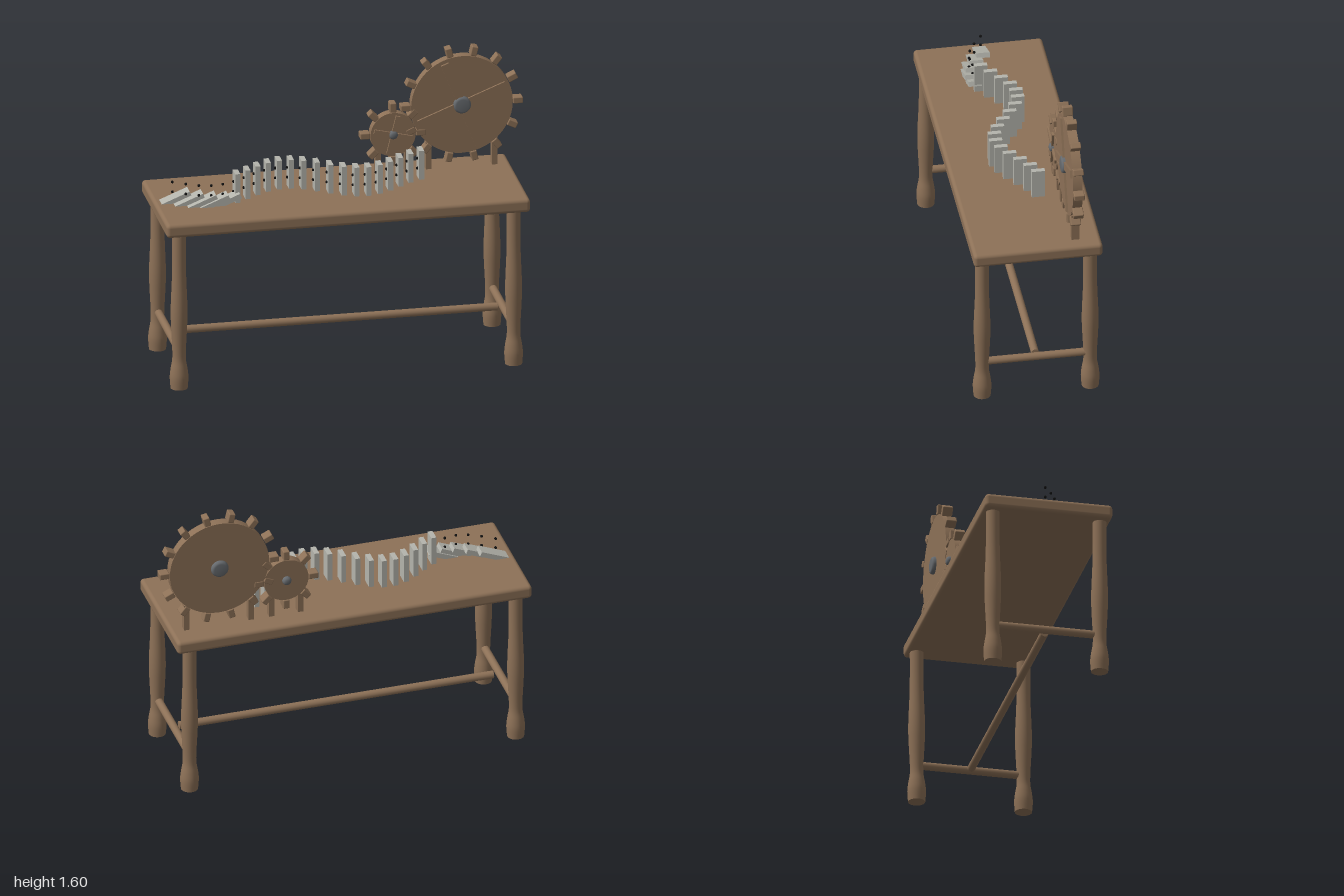
import * as THREE from 'three';
import { RoundedBoxGeometry } from 'three/addons/geometries/RoundedBoxGeometry.js';

const mat = (name, color) => {
  const m = new THREE.MeshStandardMaterial({ color });
  m.name = name;
  return m;
};

export function createModel() {
  const wood = mat('wood', 0x8d7157);
  const tile = mat('pale tile', 0xb4b4ac);
  const metal = mat('grey metal', 0x666a6e);
  const black = mat('black', 0x111111);

  const root = new THREE.Group();
  root.name = 'gearAndDominoTable';

  const add = (parent, name, geo, material, x = 0, y = 0, z = 0) => {
    const m = new THREE.Mesh(geo, material);
    m.name = name;
    m.position.set(x, y, z);
    parent.add(m);
    return m;
  };
  const group = (name, x = 0, y = 0, z = 0) => {
    const g = new THREE.Group();
    g.name = name;
    g.position.set(x, y, z);
    root.add(g);
    return g;
  };

  // Table top
  add(root, 'tableTop', new RoundedBoxGeometry(1.93, 0.075, 0.68, 4, 0.02), wood, -0.035, 0.8925, 0);

  // Turned legs: foot, neck, belly, slim top
  const curve = new THREE.SplineCurve([
    [0.045, 0], [0.049, 0.06], [0.044, 0.11], [0.036, 0.16], [0.036, 0.22], [0.041, 0.32],
    [0.044, 0.4], [0.043, 0.48], [0.038, 0.6], [0.036, 0.7], [0.036, 0.86],
  ].map(([r, y]) => new THREE.Vector2(r, y)));
  const legGeo = new THREE.LatheGeometry(
    [new THREE.Vector2(0, 0), new THREE.Vector2(0.045, 0), ...curve.getPoints(40)], 24);
  const legX = [-0.925, 0.85];
  for (const x of legX) {
    for (const z of [-0.285, 0.285]) add(root, 'leg', legGeo, wood, x, 0, z);
    // Side stretchers
    add(root, 'sideStretcher', new THREE.CylinderGeometry(0.021, 0.021, 0.52, 16), wood, x, 0.21, 0)
      .rotation.x = Math.PI / 2;
  }
  // Long stretcher
  add(root, 'longStretcher', new THREE.CylinderGeometry(0.021, 0.021, 1.71, 16), wood, -0.035, 0.21, 0)
    .rotation.z = Math.PI / 2;

  // Gears: disc, ring of teeth, raised spokes on the front, rounded metal hub
  const gearZ = -0.206;
  const gear = (name, x, y, r, teeth, spokeAngle, spokeWidth, spokeLength, hubR) => {
    const g = group(name, x, y, gearZ);
    add(g, 'disc', new THREE.CylinderGeometry(r, r, 0.05, 48), wood).rotation.x = Math.PI / 2;

    const toothGeo = new RoundedBoxGeometry(0.052, 0.034, 0.055, 2, 0.005);
    for (let i = 0; i < teeth; i++) {
      const a = (i / teeth) * Math.PI * 2;
      const d = r + 0.028;
      add(g, 'tooth', toothGeo, wood, Math.cos(a) * d, Math.sin(a) * d, 0).rotation.z = a;
    }

    const spokeGeo = new THREE.BoxGeometry(spokeLength, spokeWidth, 0.015);
    for (let i = 0; i < 4; i++) {
      const a = spokeAngle + (i * Math.PI) / 2;
      const d = spokeLength / 2;
      add(g, 'spoke', spokeGeo, wood, Math.cos(a) * d, Math.sin(a) * d, 0.028 + (i % 2) * 0.001)
        .rotation.z = a;
    }

    const h = 0.047, b = 0.014;
    const half = [[0, -h], [hubR - b, -h], [hubR - b * 0.3, -h + b * 0.3], [hubR, -h + b]];
    const profile = [...half, ...half.map(([u, v]) => [u, -v]).reverse()]
      .map(([u, v]) => new THREE.Vector2(u, v));
    add(g, 'hub', new THREE.LatheGeometry(profile, 28), metal).rotation.x = Math.PI / 2;

    // Posts that carry the gear
    for (const s of [-1, 1]) {
      const top = y - r * 0.74;
      add(root, 'gearPost', new THREE.BoxGeometry(0.03, top - 0.92, 0.04), wood,
        x + s * r * 0.65, (top + 0.92) / 2, gearZ);
    }
  };
  gear('largeGear', 0.67, 1.28, 0.27, 14, 0.38, 0.043, 0.25, 0.047);
  gear('smallGear', 0.305, 1.14, 0.12, 8, -0.24, 0.024, 0.105, 0.024);

  // Dominoes on a wavy path; the first five have toppled
  const dominoGeo = new THREE.BoxGeometry(0.027, 0.16, 0.07);
  const dotGeo = new THREE.SphereGeometry(0.0075, 10, 8);
  const dominoes = group('dominoes');
  for (let i = 0; i < 22; i++) {
    const x = -0.8875 + i * 0.0627;
    const z = 0.092 * Math.sin(i * 0.5);
    const fallen = i < 5;
    const d = add(dominoes, fallen ? 'fallenDomino' : 'domino', dominoGeo, tile, x, fallen ? 0.948 : 1.01, z);
    if (fallen) d.rotation.z = -Math.PI / 2 + 0.385;
    // Two pips by each place
    for (const y of [0.983, 1.038]) add(dominoes, 'pip', dotGeo, black, x - 0.016, y, z);
  }

  return root;
}
